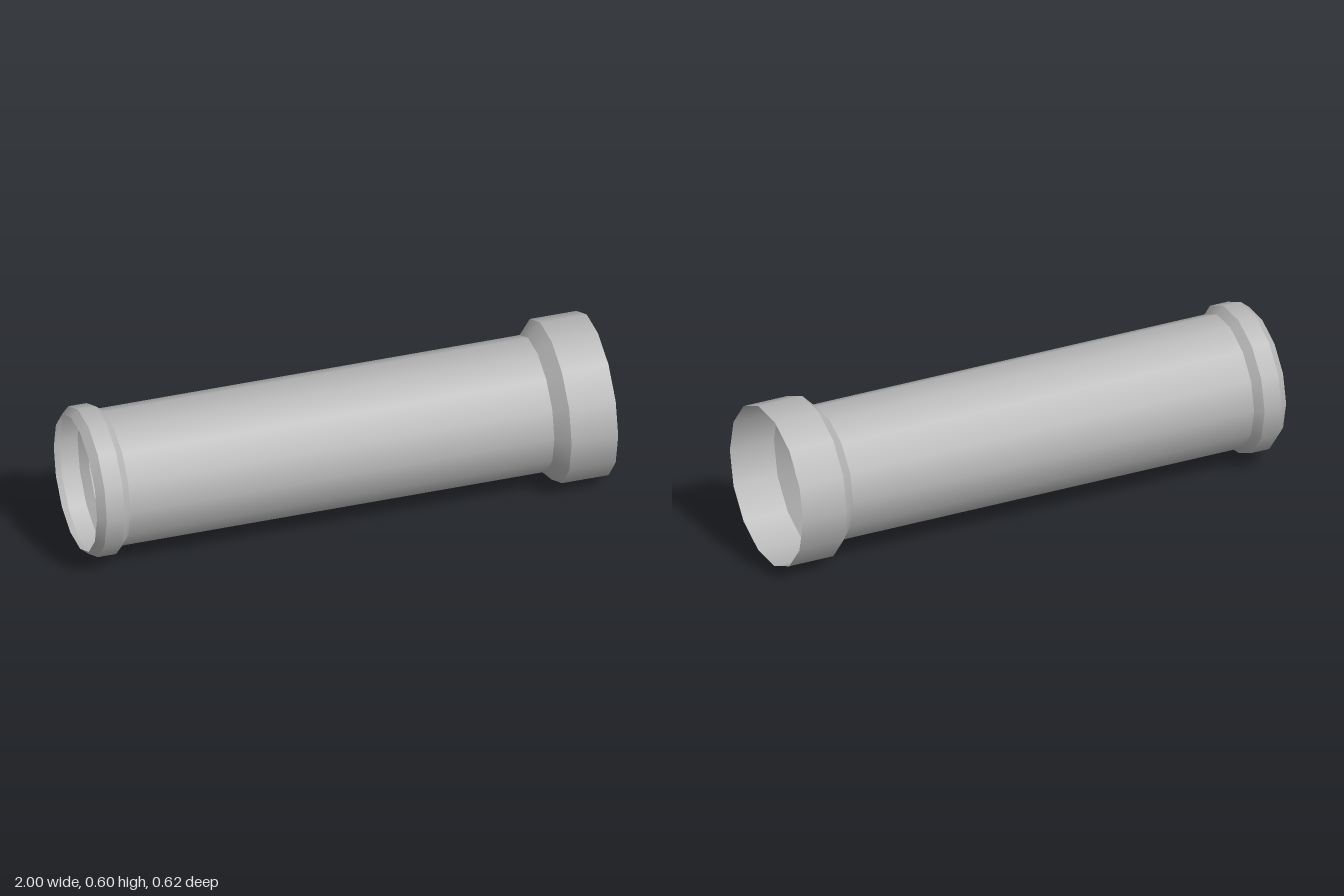
import * as THREE from 'three';

const SIDES = 14;
const AXIS_Y = 0.301;

export function createModel() {
  const model = new THREE.Group();
  model.name = 'pipe';

  const grey = new THREE.MeshStandardMaterial({ color: 0xb8b8b8, side: THREE.DoubleSide });
  grey.name = 'pipeGrey';

  // Thin open shell along x: each band is smooth around, with a sharp edge to the next
  const bands = [
    ['beadOuterBevel', -1, 0.259, -0.97, 0.284],
    ['bead', -0.97, 0.284, -0.9, 0.284],
    ['beadInnerBevel', -0.9, 0.284, -0.87, 0.257],
    ['barrel', -0.87, 0.257, 0.77, 0.257],
    ['socketShoulder', 0.77, 0.257, 0.82, 0.309],
    ['socket', 0.82, 0.309, 1, 0.309],
  ];

  for (const [name, x0, r0, x1, r1] of bands) {
    const profile = [new THREE.Vector2(r0, x0), new THREE.Vector2(r1, x1)];
    const geometry = new THREE.LatheGeometry(profile, SIDES);
    geometry.rotateZ(-Math.PI / 2);
    const mesh = new THREE.Mesh(geometry, grey);
    mesh.name = name;
    mesh.position.y = AXIS_Y;
    model.add(mesh);
  }
  return model;
}
